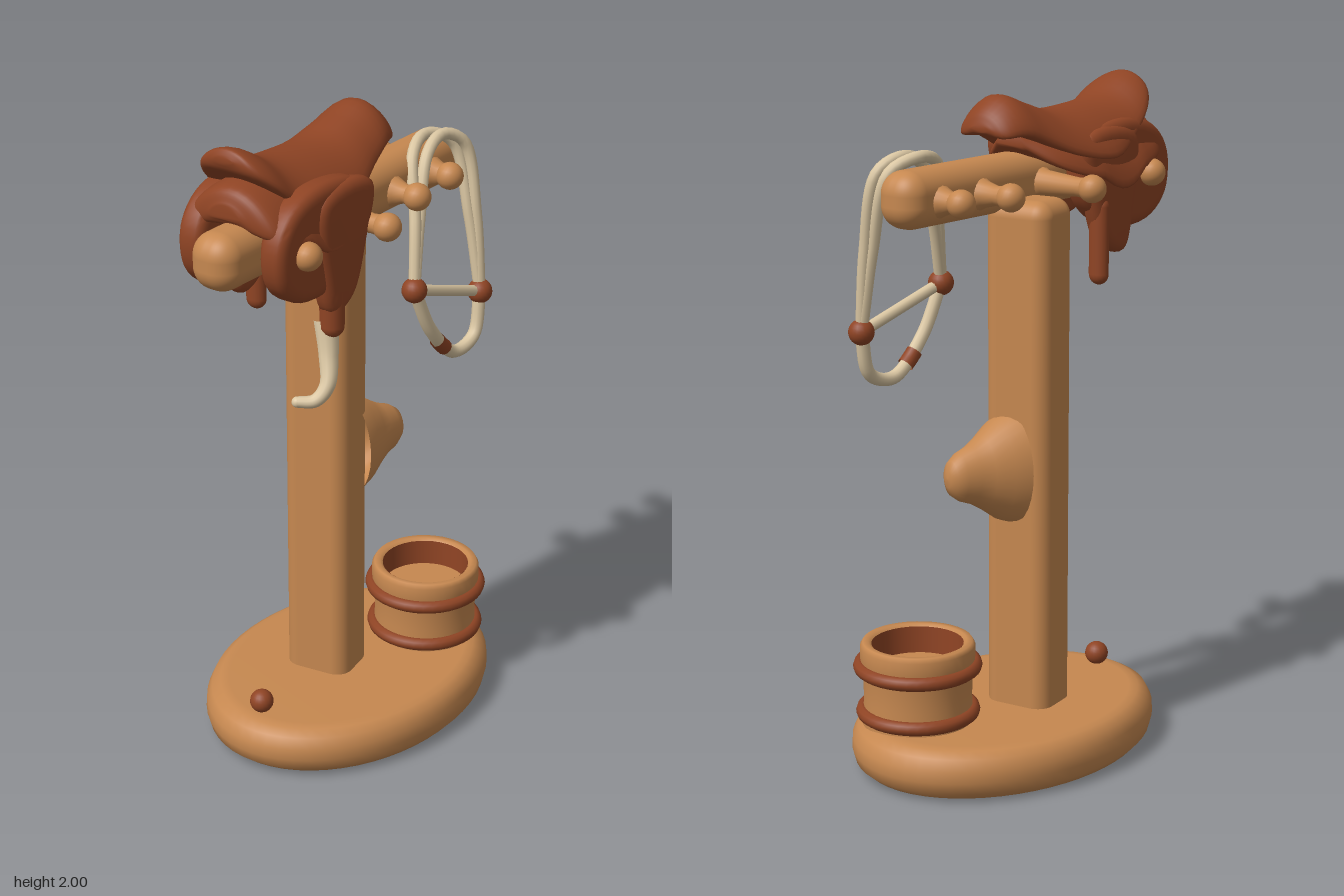
import * as THREE from 'three';
import { toCreasedNormals } from 'three/addons/utils/BufferGeometryUtils.js';
import { RoundedBoxGeometry } from 'three/addons/geometries/RoundedBoxGeometry.js';

const V2 = (x, y) => new THREE.Vector2(x, y);
const V3 = (x, y, z) => new THREE.Vector3(x, y, z);

const material = (name, color) => {
  const m = new THREE.MeshStandardMaterial({ color });
  m.name = name;
  return m;
};

// Smooth lathe from a few [radius, height] points
const lathe = (pts, seg = 36) => new THREE.LatheGeometry(pts.map(p => V2(...p)), seg);

// Arched closed loft, front to back; rows are [z, y, halfWidth, halfThickness, drop]
function saddleLoft(rows, steps = 36, sides = 32) {
  const a = new THREE.CatmullRomCurve3(rows.map(r => V3(r[0], r[1], r[2])));
  const b = new THREE.CatmullRomCurve3(rows.map(r => V3(r[3], r[4], 0)));
  const pos = [], idx = [];
  for (let i = 0; i <= steps; i++) {
    const p = a.getPoint(i / steps), q = b.getPoint(i / steps);
    for (let j = 0; j < sides; j++) {
      const t = j / sides * Math.PI * 2, c = Math.cos(t);
      pos.push(p.z * c, p.y + q.x * Math.sin(t) - q.y * c * c, p.x);
    }
  }
  for (let i = 0; i < steps; i++) for (let j = 0; j < sides; j++) {
    const k = (j + 1) % sides, m = i * sides, n = m + sides;
    idx.push(m + j, n + j, m + k, m + k, n + j, n + k);
  }
  const end = steps * sides;
  for (let j = 1; j < sides - 1; j++) idx.push(0, j, j + 1, end, end + j + 1, end + j);
  const g = new THREE.BufferGeometry();
  g.setAttribute('position', new THREE.Float32BufferAttribute(pos, 3));
  g.setIndex(idx);
  g.computeVertexNormals();
  return g;
}

// Soft leather panel whose outline is given as [z, y]
function panel(outline, depth) {
  const pts = new THREE.CatmullRomCurve3(outline.map(p => V3(p[0], p[1], 0)), true).getPoints(40);
  pts.pop();
  const g = new THREE.ExtrudeGeometry(new THREE.Shape(pts.map(p => V2(p.x, p.y))), {
    depth, bevelEnabled: true, bevelThickness: 0.028, bevelSize: 0.035, bevelOffset: -0.025, bevelSegments: 5,
  });
  g.translate(0, 0, -depth / 2);
  g.rotateY(-Math.PI / 2);
  return toCreasedNormals(g, 0.9);
}

// Tube along points whose radius runs from r0 to r1
function taperedTube(points, r0, r1) {
  const curve = new THREE.CatmullRomCurve3(points.map(p => V3(...p)));
  const n = 40, sides = 12, g = new THREE.TubeGeometry(curve, n, 1, sides);
  const pos = g.attributes.position, v = V3();
  for (let i = 0; i <= n; i++) {
    const c = curve.getPointAt(i / n), r = r0 + (r1 - r0) * i / n;
    for (let j = 0; j <= sides; j++) {
      const k = i * (sides + 1) + j;
      v.fromBufferAttribute(pos, k).sub(c).multiplyScalar(r).add(c);
      pos.setXYZ(k, v.x, v.y, v.z);
    }
  }
  return g;
}

export function createModel() {
  const wood = material('wood', 0xc68850);
  const leather = material('leather', 0x8f4424);
  const rope = material('rope', 0xdac6a2);
  leather.side = wood.side = THREE.DoubleSide;
  const model = new THREE.Group();
  model.name = 'saddleStand';

  const add = (parent, name, geo, mat, x = 0, y = 0, z = 0) => {
    const m = new THREE.Mesh(geo, mat);
    m.name = name;
    m.position.set(x, y, z);
    parent.add(m);
    return m;
  };
  const ball = r => new THREE.SphereGeometry(r, 20, 14);

  // Oval base with a rounded edge
  const base = add(model, 'base', lathe([[0, 0], [0.86, 0], [0.93, 0.008], [0.98, 0.03], [1, 0.065],
    [0.995, 0.1], [0.96, 0.132], [0.9, 0.148], [0.84, 0.152], [0, 0.152]], 56), wood, 0, 0, -0.09);
  base.scale.set(0.385, 1, 0.521);
  base.rotation.y = -0.47;
  add(model, 'baseKnob', ball(0.036), leather, -0.19, 0.183, 0.28);

  // Post and its branch stub
  const post = add(model, 'post', new RoundedBoxGeometry(0.212, 1.6, 0.178, 5, 0.05), wood, -0.065, 0.88, -0.06);
  post.rotation.y = -0.25;
  const stub = new THREE.Group();
  stub.name = 'branchStub';
  stub.position.set(-0.02, 0.885, -0.115);
  stub.rotation.y = -0.64;
  const stubMesh = add(stub, 'stub', lathe([[0.17, 0], [0.148, 0.05], [0.112, 0.1], [0.088, 0.14],
    [0.073, 0.18], [0.053, 0.207], [0.025, 0.219], [0, 0.221]], 28), wood);
  stubMesh.rotation.x = -Math.PI / 2;
  stubMesh.scale.x = 0.72;
  model.add(stub);

  // Open bucket with two hoops
  const bucket = new THREE.Group();
  bucket.name = 'bucket';
  bucket.position.set(0.2, 0, -0.315);
  add(bucket, 'bucketWall', lathe([[0.165, 0.14], [0.16, 0.22], [0.162, 0.3], [0.17, 0.34], [0.17, 0.38],
    [0.162, 0.393], [0.145, 0.393], [0.136, 0.385]]), wood);
  add(bucket, 'bucketLining', lathe([[0.136, 0.386], [0.132, 0.26]]), leather);
  add(bucket, 'bucketFloor', new THREE.CylinderGeometry(0.133, 0.133, 0.02, 36), wood, 0, 0.295, 0);
  [[0.318, 0.17], [0.178, 0.163]].forEach(([y, r]) => {
    const hoop = add(bucket, 'bucketHoop', new THREE.TorusGeometry(r, 0.021, 10, 40), leather, 0, y, 0);
    hoop.rotation.x = Math.PI / 2;
  });
  model.add(bucket);

  // Top beam, turned at an angle, with everything that hangs on it
  const top = new THREE.Group();
  top.name = 'beamGroup';
  top.position.set(-0.02, 0, 0.05);
  top.rotation.y = -0.41;
  model.add(top);
  add(top, 'beam', new RoundedBoxGeometry(0.15, 0.165, 1.145, 6, 0.066), wood, 0, 1.718, 0);

  // Pegs: [z, reach], negative reach points right
  [[0.335, 0.165], [0.034, 0.215], [-0.207, 0.15], [-0.405, 0.13],
    [0.35, -0.2], [-0.005, -0.255], [-0.27, -0.175], [-0.44, -0.14]].forEach(([z, reach]) => {
    const l = Math.abs(reach);
    const peg = new THREE.Group();
    peg.name = 'peg';
    peg.position.set(0, 1.712, z);
    peg.rotation.z = -Math.sign(reach) * Math.PI / 2;
    add(peg, 'pegShaft', lathe([[0.055, 0.05], [0.038, 0.085], [0.028, Math.max(0.11, l - 0.05)], [0.032, l]], 16), wood);
    add(peg, 'pegKnob', ball(0.041), wood, 0, l, 0);
    top.add(peg);
  });

  // Saddle: seat with raised ends over a padded arch
  const saddle = new THREE.Group();
  saddle.name = 'saddle';
  saddle.position.x = -0.015;
  top.add(saddle);
  add(saddle, 'seat', saddleLoft([
    [0.43, 1.968, 0.03, 0.01, 0], [0.415, 1.965, 0.09, 0.033, 0.02], [0.365, 1.94, 0.13, 0.045, 0.04],
    [0.28, 1.89, 0.15, 0.05, 0.06], [0.15, 1.875, 0.185, 0.047, 0.09], [0.02, 1.875, 0.165, 0.047, 0.07],
    [-0.08, 1.9, 0.135, 0.052, 0.055], [-0.17, 1.93, 0.115, 0.05, 0.05],
    [-0.23, 1.905, 0.085, 0.035, 0.03], [-0.25, 1.89, 0.03, 0.01, 0]]), leather, -0.025);
  add(saddle, 'saddlePad', saddleLoft([
    [0.45, 1.83, 0.05, 0.02, 0.01], [0.42, 1.84, 0.15, 0.055, 0.06], [0.3, 1.85, 0.19, 0.06, 0.11],
    [0.12, 1.84, 0.19, 0.06, 0.11], [-0.02, 1.83, 0.14, 0.045, 0.06], [-0.1, 1.84, 0.05, 0.02, 0.01]]), leather, -0.01);

  // Side flaps and fenders; the left pair sits a little further back
  for (const s of [1, -1]) {
    const side = new THREE.Group();
    side.name = s > 0 ? 'leftSaddleSide' : 'rightSaddleSide';
    side.position.z = s > 0 ? -0.04 : -0.01;
    add(side, 'flap', panel([[0.08, 1.82], [0.09, 1.66], [0.2, 1.58], [0.37, 1.575], [0.455, 1.64],
      [0.465, 1.76], [0.4, 1.84], [0.25, 1.87]], 0.03), leather, s * 0.128);
    add(side, 'fender', panel([[0.07, 1.83], [0.1, 1.68], [0.16, 1.53], [0.24, 1.5], [0.28, 1.62],
      [0.29, 1.83]], 0.015), leather, s * 0.15);
    saddle.add(side);
  }

  // Hanging straps
  const strap = add(saddle, 'rightStrap', new THREE.CapsuleGeometry(0.032, 0.2, 8, 16), leather, -0.16, 1.535, 0.13);
  strap.scale.z = 0.8;
  add(saddle, 'leftStrap', new THREE.CapsuleGeometry(0.036, 0.1, 8, 16), leather, 0.15, 1.5, 0.185);

  // Curved pale tassel below the left strap
  add(model, 'tassel', taperedTube([[0.01, 1.46, 0.262], [0.022, 1.36, 0.283], [0.025, 1.28, 0.315],
    [-0.005, 1.24, 0.335], [-0.055, 1.235, 0.345]], 0.036, 0.016), rope);
  add(model, 'tasselTip', ball(0.016), rope, -0.055, 1.235, 0.345);

  // Rope halter: two upper strands, lower noseband, crossbar and knots
  const halter = new THREE.Group();
  halter.name = 'halter';
  const a = [0.195, 1.42, -0.085], b = [0.345, 1.32, -0.355];
  const cord = (name, pts, r = 0.018) => add(halter, name,
    new THREE.TubeGeometry(new THREE.CatmullRomCurve3(pts.map(p => V3(...p))), 48, r, 10), rope);
  cord('outerStrand', [b, [0.325, 1.56, -0.37], [0.285, 1.78, -0.375], [0.23, 1.822, -0.32],
    [0.2, 1.79, -0.235], [0.195, 1.62, -0.15], a]);
  cord('innerStrand', [b, [0.305, 1.56, -0.365], [0.25, 1.78, -0.375], [0.18, 1.822, -0.31],
    [0.16, 1.79, -0.215], [0.185, 1.62, -0.135], a]);
  cord('noseband', [a, [0.235, 1.27, -0.145], [0.29, 1.165, -0.24], [0.335, 1.19, -0.32], b], 0.02);
  cord('crossbar', [a, [0.27, 1.37, -0.22], b], 0.017);
  [a, b].forEach(p => add(halter, 'knot', ball(0.038), leather, ...p));
  add(halter, 'nosebandWrap', new THREE.TubeGeometry(new THREE.CatmullRomCurve3(
    [V3(0.25, 1.23, -0.169), V3(0.259, 1.211, -0.183), V3(0.268, 1.194, -0.2)]), 8, 0.024, 12), leather);
  model.add(halter);

  return model;
}
